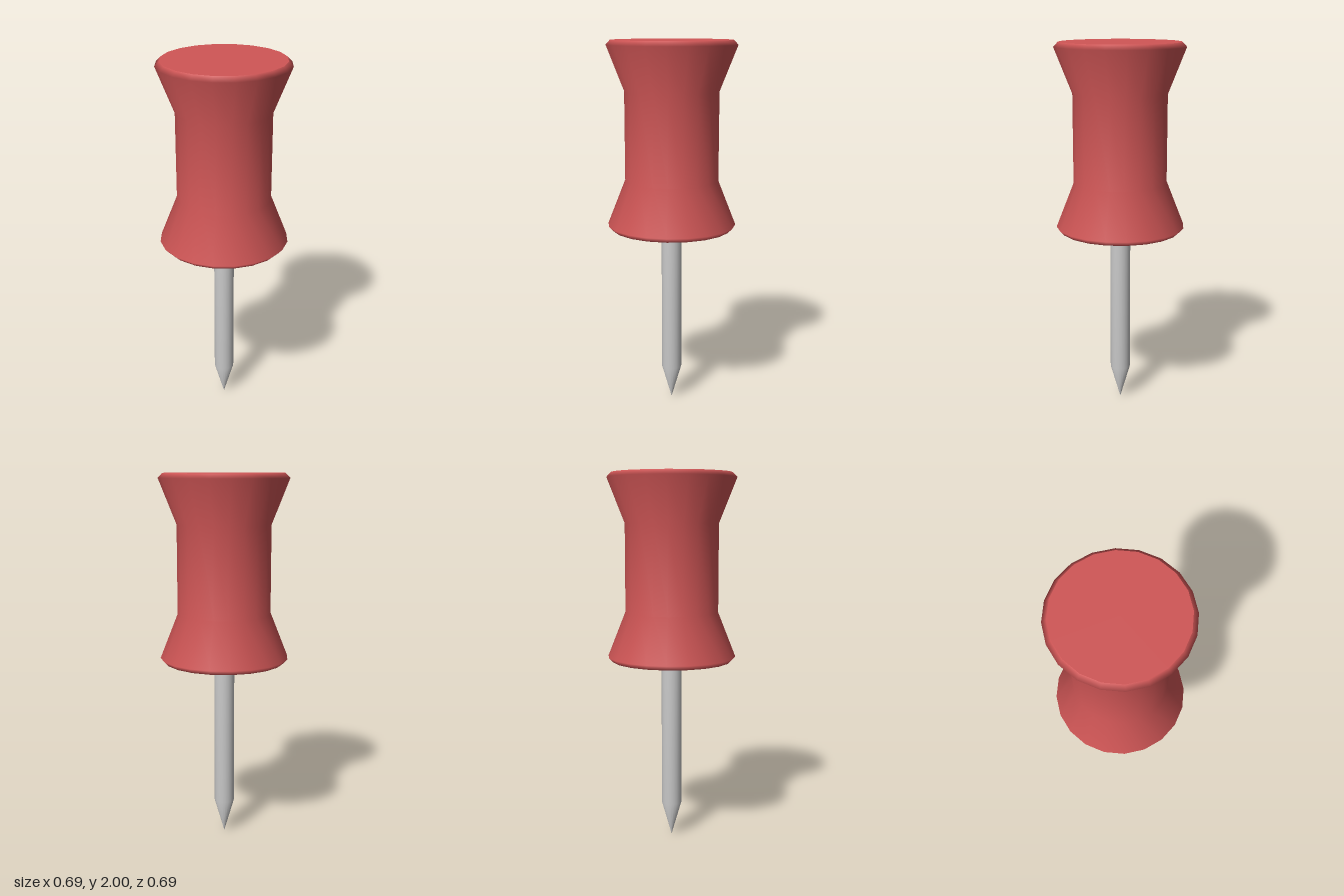
import * as THREE from 'three';

const SIDES = 20;

// Turned surface; the profile runs from bottom to top so faces point outwards
function turned(name, profile, material) {
  const points = profile.map(([r, y]) => new THREE.Vector2(r, y));
  const mesh = new THREE.Mesh(new THREE.LatheGeometry(points, SIDES), material);
  mesh.name = name;
  return mesh;
}

export function createModel() {
  const red = new THREE.MeshStandardMaterial({ color: 0xd05656 });
  const grey = new THREE.MeshStandardMaterial({ color: 0xcccccc });
  const model = new THREE.Group();
  model.name = 'pushPin';

  // Handle: smooth waisted grip, with separate flat ends for crisp rims
  const bottom = 0.995, top = 2, rim = 0.323, flare = 0.347, waist = 0.252;
  const handle = new THREE.Group();
  handle.name = 'handle';
  handle.add(
    turned('gripBottom', [[0, bottom], [rim, bottom]], red),
    turned('grip', [
      [rim, bottom], [flare, bottom + 0.025],
      [waist, 1.26], [waist, 1.735],
      [flare, top - 0.025], [rim, top],
    ], red),
    turned('gripTop', [[rim, top], [0, top]], red),
  );

  // Needle: straight shaft with a tapered point, seated inside the handle
  const needle = turned('needle', [[0, 0], [0.055, 0.19], [0.055, 1.02]], grey);

  model.add(handle, needle);
  return model;
}
